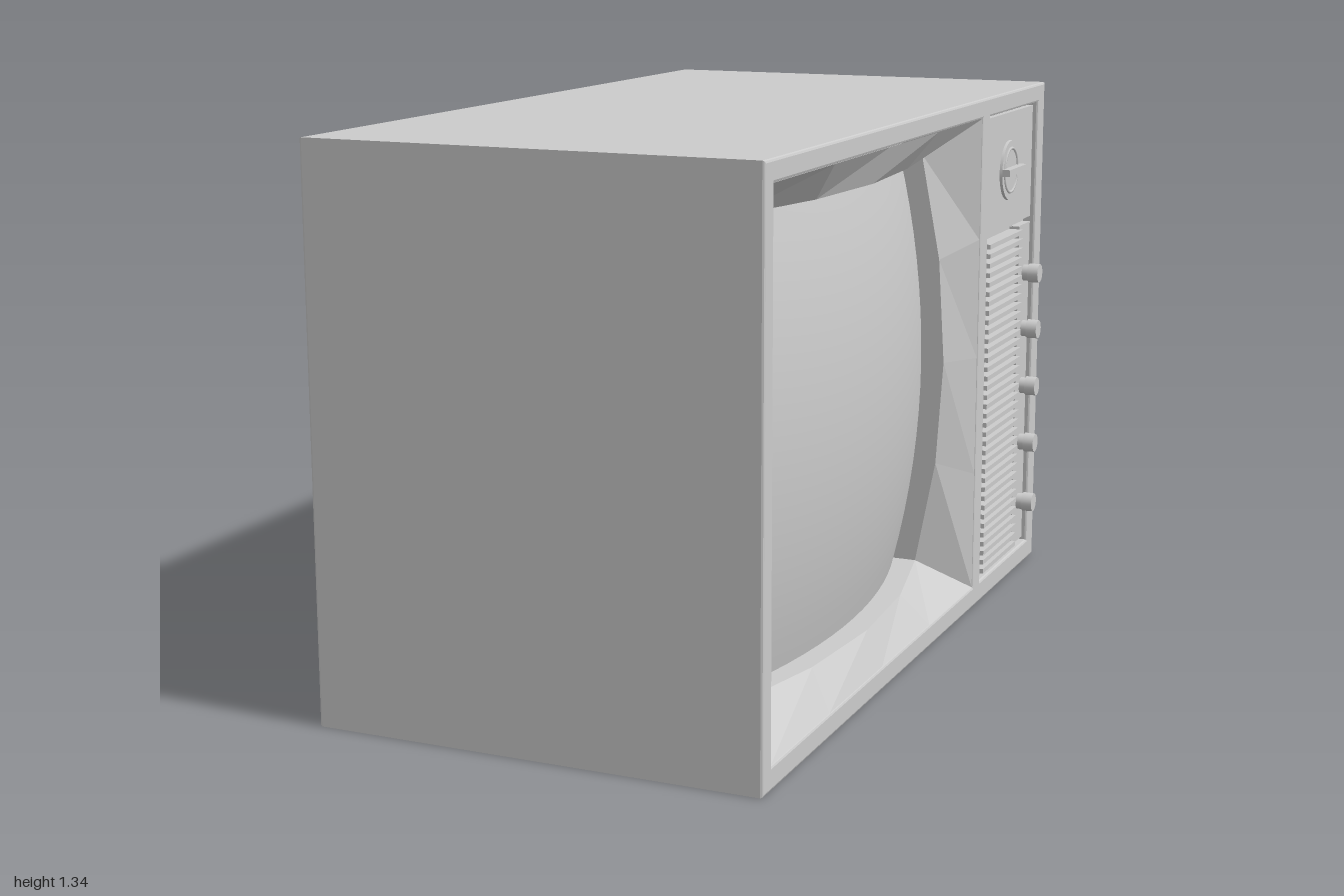
import * as THREE from 'three';

// Built facing local +z, then turned so the screen side faces +x.
const FRONT = 0.525, BACK = -0.56, H = 1.335, BEVEL = 0.006;
const CX = -0.255, CY = 0.67; // screen centre
const material = new THREE.MeshStandardMaterial({ color: 0xcccccc });
const flat = new THREE.MeshStandardMaterial({ color: 0xcccccc, flatShading: true, side: THREE.DoubleSide });
const smooth = new THREE.MeshStandardMaterial({ color: 0xcccccc, side: THREE.DoubleSide });

function add(parent, name, geometry, mat = material) {
  const mesh = new THREE.Mesh(geometry, mat);
  mesh.name = name;
  parent.add(mesh);
  return mesh;
}

function box(parent, name, x0, x1, y0, y1, z0, z1) {
  const mesh = add(parent, name, new THREE.BoxGeometry(x1 - x0, y1 - y0, z1 - z0));
  mesh.position.set((x0 + x1) / 2, (y0 + y1) / 2, (z0 + z1) / 2);
  return mesh;
}

// Cylinder standing out of the panel along +z
function disc(parent, name, x, y, z0, z1, r0, r1, sides = 24) {
  const geometry = new THREE.CylinderGeometry(r1, r0, z1 - z0, sides).rotateX(Math.PI / 2);
  const mesh = add(parent, name, geometry);
  mesh.position.set(x, y, (z0 + z1) / 2);
  return mesh;
}

function rect(target, x0, x1, y0, y1) {
  target.moveTo(x0, y0);
  target.lineTo(x1, y0);
  target.lineTo(x1, y1);
  target.lineTo(x0, y1);
  target.closePath();
  return target;
}

// Bevelled slab between two depths
function slab(shape, z0, z1) {
  return new THREE.ExtrudeGeometry(shape, {
    depth: z1 - z0 - 2 * BEVEL, bevelEnabled: true, bevelSize: BEVEL,
    bevelThickness: BEVEL, bevelOffset: -BEVEL, bevelSegments: 2,
  }).translate(0, 0, z0 + BEVEL);
}

// Depth of the domed picture tube
function screenZ(x, y) {
  return FRONT - 0.035 - 0.24 * ((x - CX) ** 2 + (y - CY) ** 2);
}

// Rectangular loop, each side split into equal segments
function loop(hw, hh, zAt, segments = 4) {
  const corners = [[-1, -1], [1, -1], [1, 1], [-1, 1]];
  const points = [];
  corners.forEach(([ax, ay], i) => {
    const [bx, by] = corners[(i + 1) % 4];
    for (let s = 0; s <= segments; s++) {
      const t = s / segments;
      const x = CX + hw * (ax + (bx - ax) * t), y = CY + hh * (ay + (by - ay) * t);
      points.push([x, y, zAt(x, y)]);
    }
  });
  return points;
}

// Skin between two loops of equal length
function band(outer, inner) {
  const positions = [];
  for (let i = 0; i < outer.length - 1; i++) {
    const a = outer[i], b = outer[i + 1], c = inner[i + 1], d = inner[i];
    positions.push(...a, ...b, ...c, ...a, ...c, ...d);
  }
  const geometry = new THREE.BufferGeometry();
  geometry.setAttribute('position', new THREE.Float32BufferAttribute(positions, 3));
  geometry.computeVertexNormals();
  return geometry;
}

export function createModel() {
  const model = new THREE.Group();
  model.name = 'television';
  const set = new THREE.Group();
  set.name = 'set';
  set.rotation.y = Math.PI / 2;
  model.add(set);

  // Cabinet: solid rear and a front bezel with two openings
  add(set, 'cabinet', slab(rect(new THREE.Shape(), -1, 1, 0, H), BACK, 0.31));
  const bezel = rect(new THREE.Shape(), -1, 1, 0, H);
  bezel.holes.push(
    rect(new THREE.Path(), -0.95, 0.44, 0.055, 1.285),
    rect(new THREE.Path(), 0.502, 0.94, 0.055, 1.285),
  );
  add(set, 'bezel', slab(bezel, 0.29, FRONT));

  // Sloped surround, inner wall and domed screen
  const outer = loop(0.695, 0.615, () => FRONT - BEVEL / 2);
  const rim = loop(0.6, 0.53, (x, y) => screenZ(x, y) + 0.06);
  const seat = loop(0.6, 0.53, (x, y) => screenZ(x, y) - 0.01);
  add(set, 'screenSurround', band(outer, rim), flat);
  add(set, 'screenWall', band(rim, seat), flat);
  const screen = new THREE.PlaneGeometry(1.2, 1.06, 16, 16).translate(CX, CY, 0);
  const p = screen.attributes.position;
  for (let i = 0; i < p.count; i++) p.setZ(i, screenZ(p.getX(i), p.getY(i)));
  screen.computeVertexNormals();
  add(set, 'screen', screen, smooth);

  // Control panel: tray, dial plate and knob strip
  const panel = new THREE.Group();
  panel.name = 'controlPanel';
  set.add(panel);
  box(panel, 'panelTray', 0.502, 0.94, 0.055, 1.285, 0.46, 0.49);
  box(panel, 'dialPlate', 0.512, 0.932, 0.975, 1.277, 0.48, 0.512);
  box(panel, 'knobStrip', 0.828, 0.932, 0.065, 0.96, 0.48, 0.512);

  // Speaker grille
  const rows = 36, y0 = 0.065, pitch = (0.96 - y0) / rows;
  for (let i = 0; i < rows; i++) {
    const y = y0 + i * pitch;
    box(panel, 'grilleSlat', 0.518, 0.815, y + pitch * 0.25, y + pitch * 0.75, 0.485, 0.528);
  }
  for (const x of [0.512, 0.812]) box(panel, 'grilleSide', x, x + 0.008, y0, 0.96, 0.485, 0.518);

  // Channel dial with grip bar
  const dx = 0.715, dy = 1.125;
  disc(panel, 'dial', dx, dy, 0.505, 0.519, 0.08, 0.078, 40);
  const ring = add(panel, 'dialRing', new THREE.TorusGeometry(0.058, 0.004, 6, 40));
  ring.position.set(dx, dy, 0.519);
  box(panel, 'dialGrip', dx - 0.077, dx + 0.077, dy - 0.009, dy + 0.009, 0.51, 0.54);

  // Column of small knobs
  for (const y of [0.18, 0.35, 0.51, 0.67, 0.825]) {
    disc(panel, 'knobCollar', 0.887, y, 0.505, 0.53, 0.022, 0.022);
    disc(panel, 'knob', 0.887, y, 0.528, 0.557, 0.026, 0.025);
  }
  return model;
}
